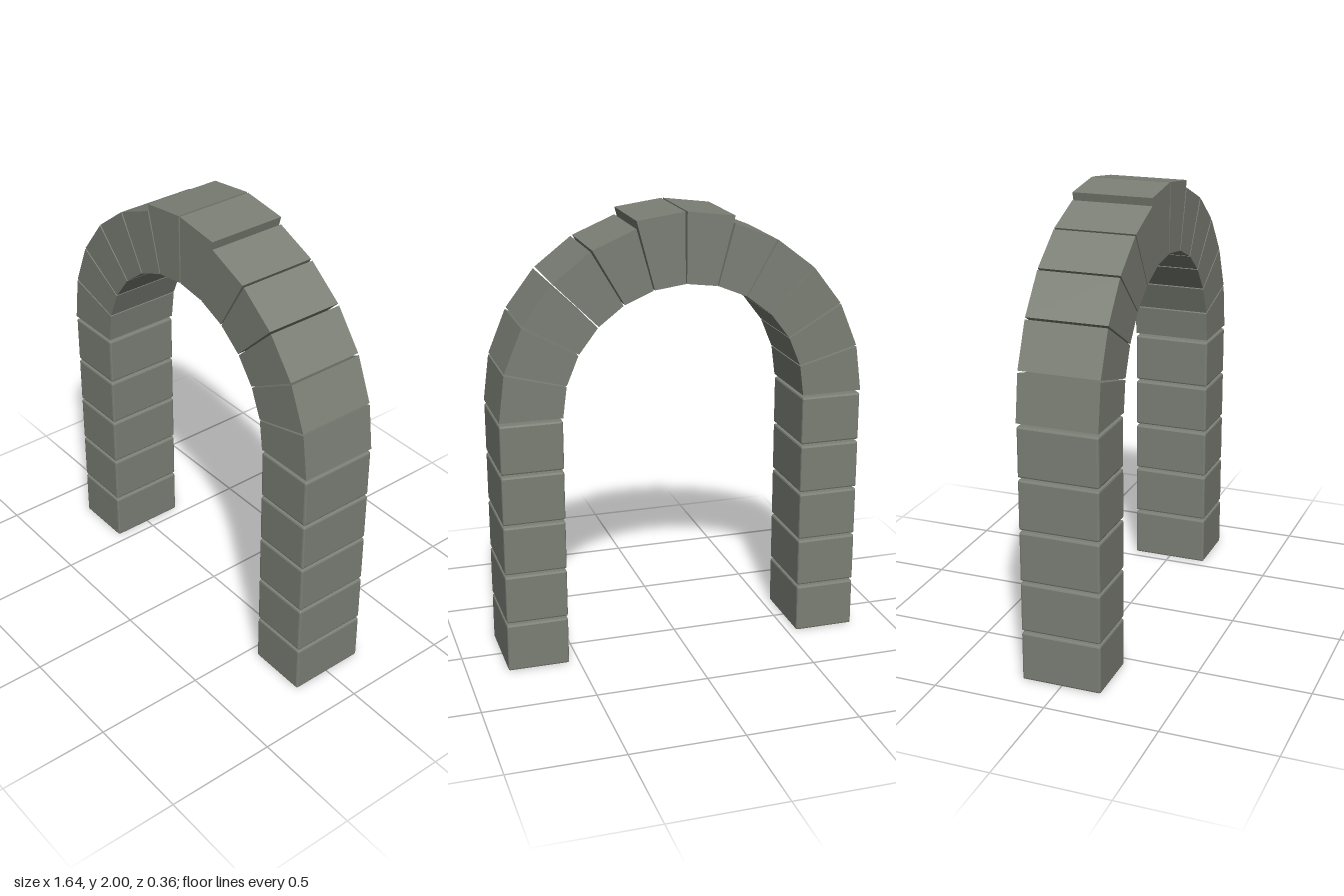
import * as THREE from 'three';
import { RoundedBoxGeometry } from 'three/addons/geometries/RoundedBoxGeometry.js';

const INNER = 0.545, OUTER = 0.82, CROWN = 0.852, DEPTH = 0.356;
const SPRING = 1.15;       // height of the arch centre
const COURSES = 5, PITCH = SPRING / COURSES, JOINT = 0.01;
const WEDGES = 12, STEP = Math.PI / WEDGES, GAP = 0.0055;

// Straight-sided wedge between two angles, extruded through the wall
function wedgeGeometry(a0, a1, outer) {
  const at = (r, a) => new THREE.Vector2(r * Math.cos(a), r * Math.sin(a));
  const shape = new THREE.Shape([at(INNER, a0), at(outer, a0), at(outer, a1), at(INNER, a1)]);
  const geometry = new THREE.ExtrudeGeometry(shape, { depth: DEPTH, bevelEnabled: false });
  return geometry.translate(0, SPRING, -DEPTH / 2);
}

// Block with small flat chamfers
function blockGeometry() {
  const geometry = new RoundedBoxGeometry(OUTER - INNER, PITCH - JOINT, DEPTH, 1, 0.008);
  geometry.computeVertexNormals();
  return geometry;
}

export function createModel() {
  const model = new THREE.Group();
  model.name = 'stoneArch';
  const stone = new THREE.MeshStandardMaterial({ color: 0x7b7f75 });
  stone.name = 'grey stone';

  // Two pillars of stacked blocks
  const block = blockGeometry();
  for (const side of [1, -1]) {
    const pillar = new THREE.Group();
    pillar.name = side > 0 ? 'leftPillar' : 'rightPillar';
    for (let i = 0; i < COURSES; i++) {
      const mesh = new THREE.Mesh(block, stone);
      mesh.name = 'pillarBlock';
      mesh.position.set(side * (INNER + OUTER) / 2, i * PITCH + (PITCH - JOINT) / 2, 0);
      pillar.add(mesh);
    }
    model.add(pillar);
  }

  // Ring of wedges, with the two crown stones standing proud
  const ring = new THREE.Group();
  ring.name = 'archRing';
  for (let i = 0; i < WEDGES; i++) {
    const crown = i === WEDGES / 2 || i === WEDGES / 2 - 1;
    const geometry = wedgeGeometry(i * STEP + GAP, (i + 1) * STEP - GAP, crown ? CROWN : OUTER);
    const mesh = new THREE.Mesh(geometry, stone);
    mesh.name = crown ? 'crownStone' : 'archStone';
    ring.add(mesh);
  }
  model.add(ring);
  return model;
}
